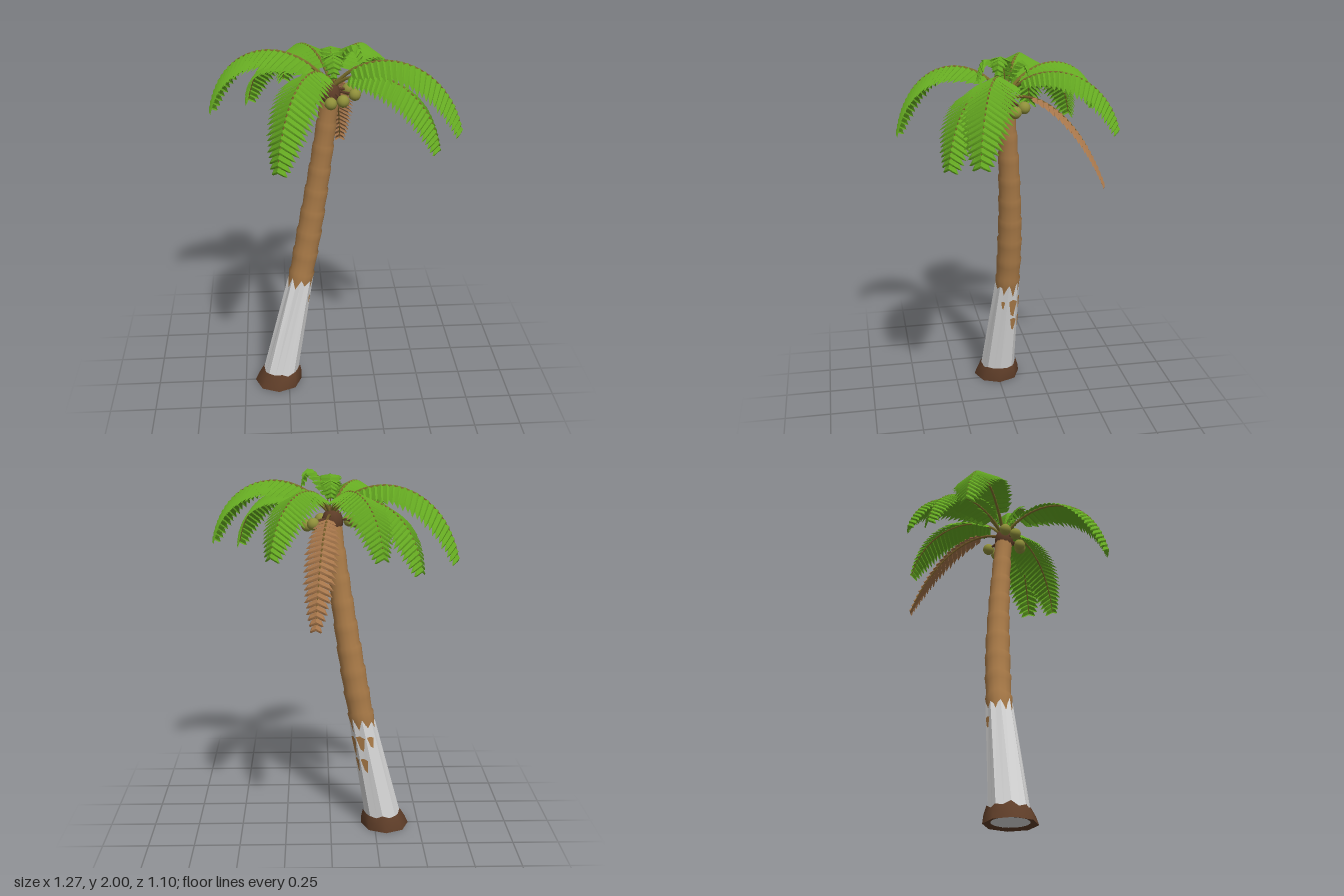
import * as THREE from 'three';

const mat = (name, color, opts = {}) => {
  const m = new THREE.MeshStandardMaterial({ color, ...opts });
  m.name = name;
  return m;
};
const V = (x, y, z) => new THREE.Vector3(x, y, z);

export function createModel() {
  const model = new THREE.Group();
  model.name = 'palmTree';

  const bark = mat('bark', 0xaa7b48);
  const paint = mat('whitePaint', 0xd8d8d8, { flatShading: true });
  const soil = mat('darkBrown', 0x5e3d28);
  const green = mat('leafGreen', 0x64a821, { flatShading: true, side: THREE.DoubleSide });
  const dry = mat('dryLeaf', 0xa5754a, { flatShading: true, side: THREE.DoubleSide });
  const stem = mat('oliveStem', 0x7d702c);
  const rib = mat('brownRib', 0x745c28);
  const nut = mat('coconut', 0x8f8f3a);

  const add = (parent, name, geo, material) => {
    const mesh = new THREE.Mesh(geo, material);
    mesh.name = name;
    parent.add(mesh);
    return mesh;
  };
  const build = (pos, index) => {
    const g = new THREE.BufferGeometry();
    g.setAttribute('position', new THREE.Float32BufferAttribute(pos, 3));
    if (index) g.setIndex(index);
    g.computeVertexNormals();
    return g;
  };

  // Leaning centre line of the trunk
  const axisX = (y) => -0.31 + 0.235 * y - 0.035 * y * y;
  const axisZ = (y) => -0.045 * Math.sin((Math.PI * y) / 1.75);

  // Skin through rings; each row is a function of column giving [y, radius]
  const loft = (rows, sides, tilt = 0) => {
    const pos = [], idx = [];
    rows.forEach((row, j) => {
      for (let i = 0; i < sides; i++) {
        const a = (i / sides) * Math.PI * 2;
        const [y, r] = row(i);
        pos.push(axisX(y) + r * Math.cos(a), y - tilt * r * Math.cos(a), axisZ(y) + r * Math.sin(a));
        if (j === 0) continue;
        const n = (i + 1) % sides, lo = (j - 1) * sides, up = j * sides;
        idx.push(lo + i, up + i, lo + n, lo + n, up + i, up + n);
      }
    });
    return build(pos, idx);
  };

  // Ringed bark
  const trunkRadius = (y) => 0.068 - 0.02 * Math.max(0, (y - 0.9) / 0.8);
  const rows = [() => [0.5, 0.06]];
  const segments = 9, y0 = 0.58, step = (1.72 - y0) / segments;
  for (let k = 0; k < segments; k++) {
    const lo = y0 + k * step, hi = lo + step;
    rows.push(() => [lo + 0.004, trunkRadius(lo) * 0.94]);
    rows.push(() => [lo + step * 0.6, trunkRadius(lo) * 0.98]);
    rows.push(() => [hi - 0.01, trunkRadius(hi) * 1.04]);
  }
  add(model, 'trunk', loft(rows, 14, 0.17), bark);

  // Eight-sided painted lower trunk with a ragged top edge
  const flat = (i) => (i % 2 ? Math.cos(Math.PI / 8) : 1);
  const paintRadius = (y) => 0.104 - 0.053 * y;
  const ragged = (i) => (i % 2 ? 0.62 : 0.665) + 0.012 * Math.sin(i * 2.3);
  add(model, 'paintedTrunk', loft([
    (i) => [0.012, 0.104 * flat(i)],
    (i) => [ragged(i), paintRadius(0.65) * flat(i) * 1.01],
  ], 16), paint);
  const bottom = add(model, 'trunkBottom', new THREE.CircleGeometry(0.1, 16).rotateX(Math.PI / 2), paint);
  bottom.position.set(axisX(0), 0.011, 0);

  // Root collar: flat underside, then a rounded flare
  add(model, 'rootCollarBase', loft([() => [0.01, 0.095], (i) => [0, 0.134 * flat(i)]], 16), soil);
  add(model, 'rootCollar', loft([
    (i) => [0, 0.134 * flat(i)],
    (i) => [0.045, 0.124 * flat(i)],
    (i) => [(i % 2 ? 0.074 : 0.088) + 0.006 * Math.sin(i * 1.7), 0.105 * flat(i)],
  ], 16), soil);

  // Worn patches in the paint: [angle, height, half angle, half height]
  const onPaint = (deg, y) => {
    const off = ((((deg % 45) + 45) % 45) - 22.5) * (Math.PI / 180);
    const r = (paintRadius(y) * Math.cos(Math.PI / 8)) / Math.cos(off) + 0.003;
    const a = (deg * Math.PI) / 180;
    return [axisX(y) + r * Math.cos(a), y, axisZ(y) + r * Math.sin(a)];
  };
  [[-24, 0.505, 20, 0.058], [-67, 0.53, 20, 0.045], [-112, 0.54, 15, 0.034],
    [22, 0.53, 9, 0.026], [-30, 0.395, 14, 0.042], [-67, 0.4, 15, 0.042]].forEach(([a, y, w, h]) => {
    const pos = [
      ...onPaint(a - w, y + h * 0.75), ...onPaint(a, y + h), ...onPaint(a + w, y + h * 0.85),
      ...onPaint(a + w * 0.4, y - h * 0.7), ...onPaint(a - w * 0.3, y - h),
    ];
    add(model, 'wornPatch', build(pos, [0, 1, 4, 1, 3, 4, 1, 2, 3]), bark);
  });

  // Crown heart
  const heart = add(model, 'crownHeart', new THREE.SphereGeometry(1, 10, 7), soil);
  heart.scale.set(0.056, 0.072, 0.054);
  heart.position.set(-0.01, 1.735, 0);

  // Coconuts on short stalks
  [[0.09, 1.735, -0.08], [0.12, 1.72, -0.03], [-0.13, 1.735, -0.005],
    [-0.1, 1.73, 0.055], [0.05, 1.73, 0.1], [-0.01, 1.715, 0.09]].forEach((p) => {
    const c = V(...p);
    add(model, 'coconut', new THREE.SphereGeometry(0.032, 14, 10), nut).position.copy(c);
    add(model, 'coconutStalk', new THREE.TubeGeometry(new THREE.LineCurve3(V(0, 1.76, 0), c), 1, 0.007, 5), soil);
  });

  // Frond: tapered midrib, olive then brown, with folded leaflets on both sides
  const frond = (name, pts, count, length, droop, start, material) => {
    const group = new THREE.Group();
    group.name = name;
    const curve = new THREE.CubicBezierCurve3(...pts);
    const tip = pts[3].clone().sub(pts[0]);
    const side = V(-tip.z, 0, tip.x).normalize();
    const span = curve.getLength();

    const tube = new THREE.TubeGeometry(curve, 16, 1, 5);
    const rp = tube.attributes.position;
    for (let i = 0; i < rp.count; i++) {
      const t = Math.floor(i / 6) / 16;
      const c = curve.getPointAt(t), p = V(0, 0, 0).fromBufferAttribute(rp, i);
      p.sub(c).multiplyScalar(span * 0.0115 * (1 - 0.8 * t)).add(c);
      rp.setXYZ(i, p.x, p.y, p.z);
    }
    const split = 9 * 5 * 6;
    tube.addGroup(0, split, 0);
    tube.addGroup(split, Infinity, 1);
    add(group, 'midrib', tube, [material === dry ? rib : stem, rib]);

    const pos = [];
    const hw = (span * (1 - start)) / count * 0.54;
    for (let i = 0; i < count; i++) {
      const s = i / (count - 1), t = start + (0.985 - start) * s;
      const o = curve.getPointAt(t), w = curve.getTangentAt(t);
      const up = side.clone().cross(w).normalize();
      if (up.y < 0) up.negate();
      const len = length * Math.pow(Math.sin(Math.PI * (0.15 + 0.77 * Math.pow(s, 0.8))), 0.75) * (1 + 0.04 * Math.sin(i * 2.4));
      for (const sgn of [-1, 1]) {
        const out = side.clone().multiplyScalar(sgn * Math.cos(droop)).addScaledVector(up, -Math.sin(droop));
        out.addScaledVector(w, 0.2 + 0.3 * s).normalize();
        const at = (d, b, h) => o.clone().addScaledVector(out, d * len).addScaledVector(w, b * hw).addScaledVector(up, h * hw);
        // rear edge, raised ridge and front edge, then a pointed end
        const a = at(0, -1, 0), m = at(0, 0.35, 0.45), b = at(0, 1, 0);
        const a2 = at(0.76, -0.95, -0.1), m2 = at(0.8, 0.3, 0.45), b2 = at(0.8, 0.85, -0.1), e = at(1.08, 0.4, -0.1);
        const faces = [[a, m, a2], [m, m2, a2], [m, b, m2], [b, b2, m2], [a2, m2, e], [m2, b2, e]];
        for (const [p, q, r] of faces)
          for (const v of sgn > 0 ? [p, r, q] : [p, q, r]) pos.push(v.x, v.y, v.z);
      }
    }
    add(group, 'leaflets', build(pos), material);
    model.add(group);
  };

  // Full fronds: [tip x, tip y, tip z, first pull height, second pull height, leaflet length]
  [[-0.632, 1.585, -0.255, 2.04, 1.97, 0.155], [-0.432, 1.565, -0.44, 1.95, 1.9, 0.14],
    [-0.238, 1.65, -0.545, 2.02, 1.94, 0.138], [0.29, 1.65, -0.52, 2.02, 1.94, 0.138],
    [0.63, 1.605, 0.225, 2.04, 1.96, 0.155], [0.5, 1.56, 0.355, 1.95, 1.9, 0.14],
    [-0.285, 1.54, 0.54, 2.02, 1.94, 0.145]].forEach(([x, y, z, h1, h2, len]) => {
    frond('frond', [V(0, 1.77, 0), V(x * 0.3, h1, z * 0.3), V(x * 0.88, h2, z * 0.88), V(x, y, z)], 24, len, 0.48, 0.17, green);
  });

  // Young curled fronds in the middle
  frond('youngFrond', [V(0, 1.78, 0), V(0.04, 2.0, 0.01), V(0.13, 2.06, 0.06), V(0.145, 1.92, 0.065)], 10, 0.06, 0.4, 0.3, green);
  frond('youngFrond', [V(0, 1.78, 0), V(0, 1.98, 0.03), V(0, 2.03, 0.13), V(0, 1.87, 0.145)], 10, 0.065, 0.4, 0.3, green);
  frond('youngFrond', [V(0, 1.78, 0), V(0, 1.98, -0.03), V(0, 2.0, -0.11), V(0, 1.88, -0.125)], 10, 0.06, 0.4, 0.3, green);

  // Dead hanging frond
  frond('deadFrond', [V(0, 1.76, 0), V(0.02, 1.83, -0.16), V(0.06, 1.67, -0.38), V(0.08, 1.3, -0.515)], 20, 0.088, 0.25, 0.2, dry);

  return model;
}
